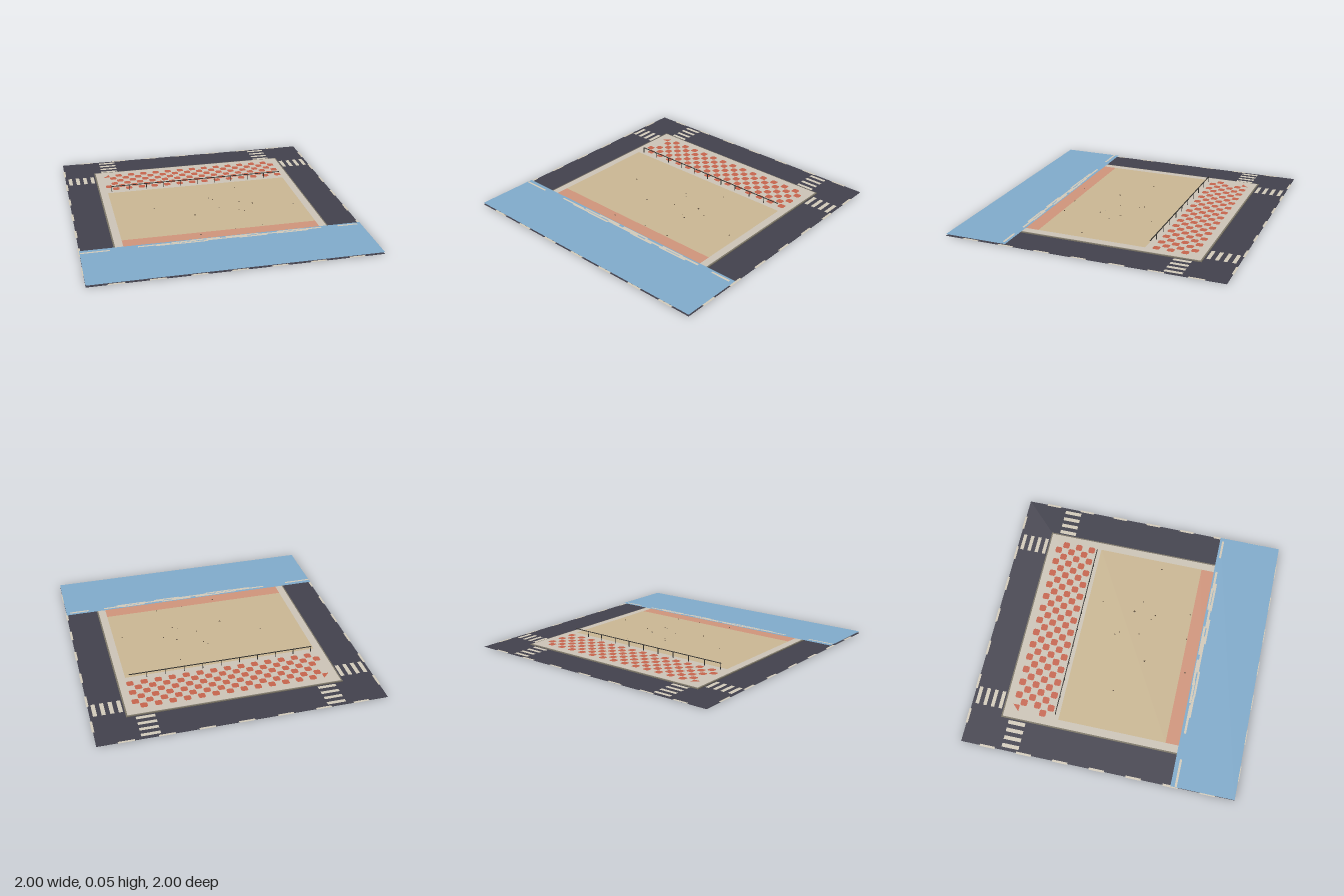
import * as THREE from 'three';

const mat = (name, color) => {
  const m = new THREE.MeshStandardMaterial({ color });
  m.name = name;
  return m;
};

export function createModel() {
  const asphalt = mat('asphalt', 0x41404c);
  const paint = mat('pale paint', 0xd0c8b8);
  const stone = mat('pavement stone', 0xcac2b5);
  const curbGrey = mat('curb grey', 0x7a7466);
  const sandTan = mat('sand', 0xc8b592);
  const coral = mat('wet coral', 0xce937a);
  const brick = mat('brick red', 0xc4634c);
  const water = mat('water blue', 0x7fa9c9);
  const iron = mat('dark iron', 0x33322f);
  const pebbleBrown = mat('pebble brown', 0x5a4a38);
  water.side = paint.side = brick.side = THREE.DoubleSide;

  const root = new THREE.Group();
  root.name = 'beachPlaza';
  const group = (name) => {
    const g = new THREE.Group();
    g.name = name;
    root.add(g);
    return g;
  };
  // Box given by its x, y and z ranges
  const slab = (parent, name, m, x0, x1, y0, y1, z0, z1) => {
    const mesh = new THREE.Mesh(new THREE.BoxGeometry(x1 - x0, y1 - y0, z1 - z0), m);
    mesh.position.set((x0 + x1) / 2, (y0 + y1) / 2, (z0 + z1) / 2);
    mesh.name = name;
    parent.add(mesh);
    return mesh;
  };
  // Upward-facing flat sheet
  const sheet = (parent, name, m, x0, x1, y, z0, z1) => {
    const mesh = new THREE.Mesh(new THREE.PlaneGeometry(x1 - x0, z1 - z0).rotateX(-Math.PI / 2), m);
    mesh.position.set((x0 + x1) / 2, y, (z0 + z1) / 2);
    mesh.name = name;
    parent.add(mesh);
    return mesh;
  };

  // Ground layers
  slab(root, 'road', asphalt, -0.993, 0.993, 0, 0.002, -0.993, 0.993);
  slab(root, 'curb', curbGrey, -0.76, 0.76, 0.002, 0.008, -0.76, 0.76);
  slab(root, 'pavement', stone, -0.75, 0.75, 0.002, 0.01, -0.75, 0.75);
  sheet(root, 'sand', sandTan, -0.695, 0.695, 0.0112, -0.35, 0.44);
  sheet(root, 'shoreStrip', coral, -0.695, 0.695, 0.0112, 0.44, 0.7);
  sheet(root, 'water', water, -0.993, 0.993, 0.0135, 0.535, 0.993);

  // Lane dashes around the border
  const lanes = group('laneDashes');
  for (let i = -3; i <= 3; i++) {
    const c = i * 0.2667;
    for (const s of [-0.992, 0.992]) {
      sheet(lanes, 'laneDash', paint, c - 0.055, c + 0.055, 0.0035, s - 0.008, s + 0.008);
      sheet(lanes, 'laneDash', paint, s - 0.008, s + 0.008, 0.0035, c - 0.055, c + 0.055);
    }
  }

  // Crossings at both back corners
  const crossings = group('crossings');
  for (const s of [-1, 1]) {
    for (let i = 0; i < 4; i++) {
      const c = 0.957 - i * 0.0575;
      sheet(crossings, 'crossingBar', paint, s * c - 0.014, s * c + 0.014, 0.0035, -0.70, -0.575);
      sheet(crossings, 'crossingBar', paint, s * 0.635 - 0.065, s * 0.635 + 0.065, 0.0035, -c - 0.013, -c + 0.013);
    }
  }

  // Checkered paving with slightly clipped corners
  const tiles = group('checkerTiles');
  const h = 0.0245, k = 0.016;
  const tileShape = new THREE.Shape(
    [[-h, -k], [-k, -h], [k, -h], [h, -k], [h, k], [k, h], [-k, h], [-h, k]].map((p) => new THREE.Vector2(...p)));
  const tileGeo = new THREE.ShapeGeometry(tileShape).rotateX(-Math.PI / 2);
  const halfShape = new THREE.Shape([[-h, -h], [h, -h], [h, h]].map((p) => new THREE.Vector2(...p)));
  const halfGeo = new THREE.ShapeGeometry(halfShape).rotateX(-Math.PI / 2);
  for (let row = 0; row < 6; row++) {
    for (let col = 0; col < 14; col++) {
      if (row === 2 && col === 0) continue;
      const tile = new THREE.Mesh(row + col === 0 ? halfGeo : tileGeo, brick);
      tile.position.set(-0.672 + col * 0.0997 + (row % 2) * 0.0498, 0.0112, -0.673 + row * 0.0502);
      tile.name = 'tile';
      tiles.add(tile);
    }
  }

  // Railing between paving and sand
  const railing = group('railing');
  slab(railing, 'rail', iron, -0.665, 0.672, 0.051, 0.055, -0.379, -0.373);
  for (let i = 0; i < 10; i++) {
    const x = -0.662 + i * 0.1342;
    slab(railing, 'post', iron, x - 0.002, x + 0.002, 0.01, 0.052, -0.378, -0.374);
  }

  // Foam streaks along the waterline: x start, x end, z
  const foam = group('foam');
  const streaks = [
    [-0.99, -0.79, 0.572], [-0.60, -0.38, 0.562], [-0.48, -0.32, 0.572], [-0.37, -0.20, 0.555],
    [-0.23, -0.03, 0.55], [-0.32, -0.12, 0.575], [-0.13, 0.16, 0.565], [0.01, 0.24, 0.55],
    [0.10, 0.30, 0.574], [0.23, 0.42, 0.562], [0.38, 0.56, 0.55], [0.37, 0.60, 0.57],
    [0.54, 0.70, 0.556], [0.82, 0.965, 0.56],
  ];
  for (const [x0, x1, z] of streaks) sheet(foam, 'foamStreak', paint, x0, x1, 0.0148, z - 0.008, z + 0.008);

  // Pebbles scattered on the sand: x, z, radius
  const pebbles = group('pebbles');
  const pebbleGeo = new THREE.IcosahedronGeometry(1, 0);
  const spots = [
    [0.275, -0.24, 4], [0.035, -0.095, 5], [0.06, -0.065, 5], [-0.395, -0.01, 5], [0.245, 0.01, 8],
    [0.335, 0.06, 6], [0.075, 0.08, 5], [-0.125, 0.165, 7], [0.21, 0.145, 4], [0.245, 0.17, 6],
    [0.63, 0.14, 6], [0.11, 0.435, 5], [0.31, 0.425, 5], [-0.15, 0.475, 6],
  ];
  spots.forEach(([x, z, r], i) => {
    const p = new THREE.Mesh(pebbleGeo, pebbleBrown);
    p.scale.set(r / 1000, 0.003, r / 1000);
    p.position.set(x, 0.0125, z);
    p.rotation.y = i * 1.3;
    p.name = 'pebble';
    pebbles.add(p);
  });

  return root;
}
